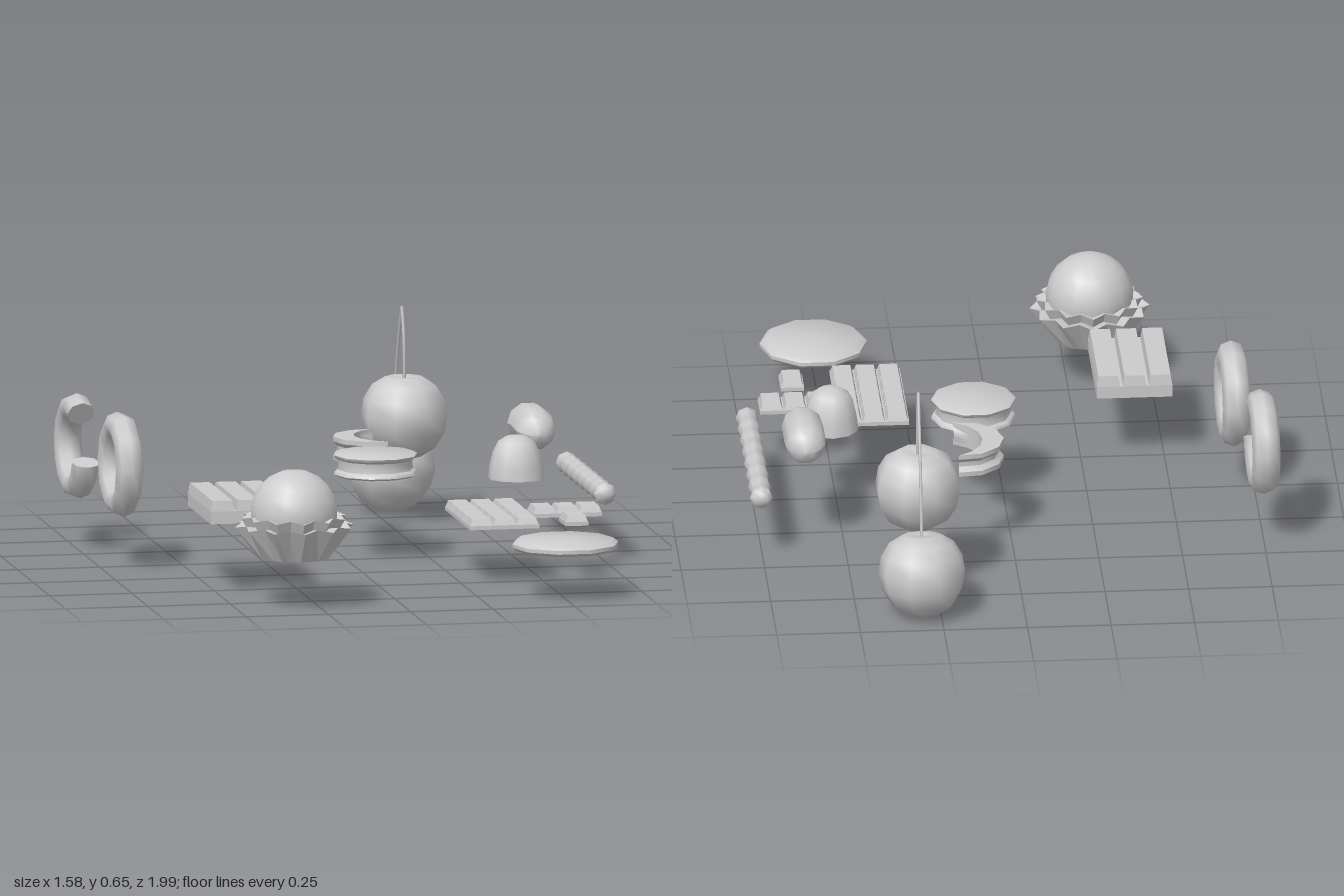
import * as THREE from 'three';
import { toCreasedNormals } from 'three/addons/utils/BufferGeometryUtils.js';

export function createModel() {
  const model = new THREE.Group();
  const material = new THREE.MeshStandardMaterial({ color: 0xcccccc, side: THREE.DoubleSide });

  const add = (name, geometry, x = 0, y = 0, z = 0, parent = model) => {
    const mesh = new THREE.Mesh(geometry, material);
    mesh.name = name;
    mesh.position.set(x, y, z);
    parent.add(mesh);
    return mesh;
  };
  const group = (name) => {
    const g = new THREE.Group();
    g.name = name;
    model.add(g);
    return g;
  };
  // Profile listed from the bottom centre up to the top centre
  const lathe = (points, sides, crease = 0.7, turn = 0) => toCreasedNormals(
    new THREE.LatheGeometry(points.map(([r, y]) => new THREE.Vector2(r, y)), sides).rotateY(turn), crease);
  // Apply a rule to every vertex
  const reshape = (geometry, rule) => {
    const p = geometry.attributes.position, v = new THREE.Vector3();
    for (let i = 0; i < p.count; i++) {
      rule(v.fromBufferAttribute(p, i));
      p.setXYZ(i, v.x, v.y, v.z);
    }
    geometry.computeVertexNormals();
    return geometry;
  };
  // Box standing on y = 0 with its top drawn in
  const block = (w, h, d, inset) => reshape(new THREE.BoxGeometry(w, h, d).translate(0, h / 2, 0), (v) => {
    if (v.y > h / 2) {
      v.x -= Math.sign(v.x) * inset;
      v.z -= Math.sign(v.z) * inset;
    }
  });

  // Pair of cherries with joined stems
  const cherries = group('cherries');
  const cherryProfile = [[0, -0.122], [0.05, -0.118], [0.094, -0.09], [0.122, -0.045], [0.132, 0.005],
    [0.124, 0.055], [0.098, 0.098], [0.058, 0.122], [0.025, 0.122], [0, 0.108]];
  add('upperCherry', lathe(cherryProfile, 8, 1.2, Math.PI / 8), 0.305, 0.32, -0.667, cherries);
  add('lowerCherry', lathe(cherryProfile, 9, 1.2), 0.305, 0.13, -0.872, cherries).rotation.x = 0.2;
  const stem = (points) => new THREE.TubeGeometry(
    new THREE.CatmullRomCurve3(points.map(([y, z]) => new THREE.Vector3(0.305, y, z))), 8, 0.005, 5);
  add('upperStem', stem([[0.42, -0.665], [0.56, -0.672], [0.65, -0.703]]), 0, 0, 0, cherries);
  add('lowerStem', stem([[0.65, -0.703], [0.46, -0.785], [0.235, -0.848]]), 0, 0, 0, cherries);

  // Sandwich biscuit and its bitten twin
  add('sandwichBiscuit', lathe([[0, 0], [0.117, 0], [0.127, 0.006], [0.124, 0.014], [0.114, 0.02], [0.112, 0.035],
    [0.114, 0.05], [0.124, 0.056], [0.127, 0.064], [0.117, 0.07], [0, 0.07]], 10, 0.75, Math.PI / 10), 0.09, 0.255, -0.01);
  const crescent = new THREE.Shape();
  for (let i = 0; i <= 6; i++) {
    const a = 1.41 + (i / 6) * (2 * Math.PI - 2.82);
    crescent[i ? 'lineTo' : 'moveTo'](0.124 * Math.cos(a), 0.124 * Math.sin(a));
  }
  for (let i = 1; i < 6; i++) {
    const a = Math.PI + 1.16 - (i / 6) * 2.32;
    crescent.lineTo(0.073 + 0.133 * Math.cos(a), 0.133 * Math.sin(a));
  }
  const bitten = new THREE.ExtrudeGeometry(crescent, { depth: 0.07, steps: 5, bevelEnabled: false });
  reshape(bitten, (v) => {
    if (Math.hypot(v.x, v.y) > 0.12 && v.z > 0.02 && v.z < 0.05) {
      v.x *= 0.89;
      v.y *= 0.89;
    }
  });
  add('bittenBiscuit', toCreasedNormals(bitten.rotateX(-Math.PI / 2), 0.7), 0.145, 0.255, -0.318);

  // Gumdrop
  add('gumdrop', lathe([[0, 0], [0.085, 0], [0.082, 0.035], [0.071, 0.08], [0.054, 0.112], [0.03, 0.127], [0, 0.131]],
    10, 1), 0.516, 0.235, 0);

  // Jelly bean with a slight bend
  const bean = new THREE.CapsuleGeometry(0.062, 0.118, 4, 10, 2).rotateX(Math.PI / 2);
  add('jellyBean', reshape(bean, (v) => { v.y += 0.007 - 1.2 * v.z * v.z; }), 0.618, 0.342, -0.29);

  // Knobbly stick lying along z
  const stickProfile = [[0, -0.32], [0.02, -0.316]];
  for (let i = 0; i <= 28; i++) {
    stickProfile.push([0.031 + 0.003 * Math.cos(i * Math.PI / 2), -0.3 + i * 0.6 / 28]);
  }
  stickProfile.push([0.02, 0.316], [0, 0.32]);
  add('stick', lathe(stickProfile, 8, 1).rotateX(Math.PI / 2), 0.755, 0.205, -0.14);

  // Chocolate slabs made of bevelled squares
  const slab = (name, x, z, columns, rows) => {
    const g = group(name), px = 0.07, pz = 0.0985;
    add('slabBase', block(columns * px, 0.012, rows * pz, 0), x, 0.17, z, g);
    for (let i = 0; i < columns; i++) {
      for (let j = 0; j < rows; j++) {
        add('square', block(px - 0.003, 0.02, pz - 0.003, 0.007),
          x + (i - (columns - 1) / 2) * px, 0.181, z + (j - (rows - 1) / 2) * pz, g);
      }
    }
  };
  slab('chocolateBar', 0.375, 0.347, 3, 4);
  slab('chocolateRow', 0.603, 0.306, 3, 1);
  slab('chocolateSquare', 0.599, 0.473, 1, 1);

  // Wafer with three ridges
  const wafer = group('wafer');
  add('waferBase', block(0.226, 0.038, 0.36, 0), -0.408, 0.215, 0.38, wafer);
  for (const i of [-1, 0, 1]) {
    add('waferRidge', block(0.07, 0.033, 0.36, 0.005), -0.408 + i * 0.078, 0.252, 0.38, wafer);
  }

  // Bonbon in a pleated paper cup
  const bonbon = group('bonbon');
  const cup = new THREE.LatheGeometry([[0, 0], [0.108, 0], [0.18, 0.095], [0.143, 0.09], [0.16, 0.121], [0.12, 0.115]]
    .map(([r, y]) => new THREE.Vector2(r, y)), 24);
  reshape(cup, (v) => {
    const pleat = Math.round(Math.atan2(v.x, v.z) / (Math.PI / 12));
    if (pleat % 2 !== 0) {
      const s = v.y > 0.01 ? 0.88 : 0.96;
      v.x *= s;
      v.z *= s;
      if (v.y > 0.01) v.y += 0.008;
    }
  });
  add('paperCup', toCreasedNormals(cup, 0.3), -0.318, 0.15, 0.815, bonbon);
  add('bonbonDome', new THREE.SphereGeometry(0.132, 16, 6, 0, Math.PI * 2, 0, Math.PI * 0.56),
    -0.318, 0.283, 0.815, bonbon);

  // Flat round biscuit
  add('roundBiscuit', lathe([[0, 0], [0.15, 0], [0.161, 0.009], [0.161, 0.02], [0.145, 0.032], [0, 0.038]],
    10, 0.75, Math.PI / 10), 0.51, 0.145, 0.795);

  // Jelly rings standing upright, one with a piece missing
  const ring = (name, x, z, start, arc, turn) => {
    const geometry = new THREE.TorusGeometry(0.12, 0.039, 8, 10, arc).rotateZ(start)
      .scale(1, 1, 1.08).rotateY(-Math.PI / 2);
    const g = group(name);
    add('ringBody', geometry, 0, 0, 0, g);
    if (arc < Math.PI * 2) {
      for (const a of [start, start + arc]) {
        add('ringEnd', new THREE.CircleGeometry(0.039, 8).scale(1.08, 1, 1).rotateX(Math.PI / 2 - a),
          0, 0.12 * Math.sin(a), 0.12 * Math.cos(a), g);
      }
    }
    g.position.set(x, 0.312, z);
    g.rotation.y = turn;
  };
  ring('jellyRing', -0.685, -0.01, 0, Math.PI * 2, 0.04);
  ring('bittenRing', -0.747, -0.375, 1.08, Math.PI * 2 - 1.35, 0.04);
  return model;
}
